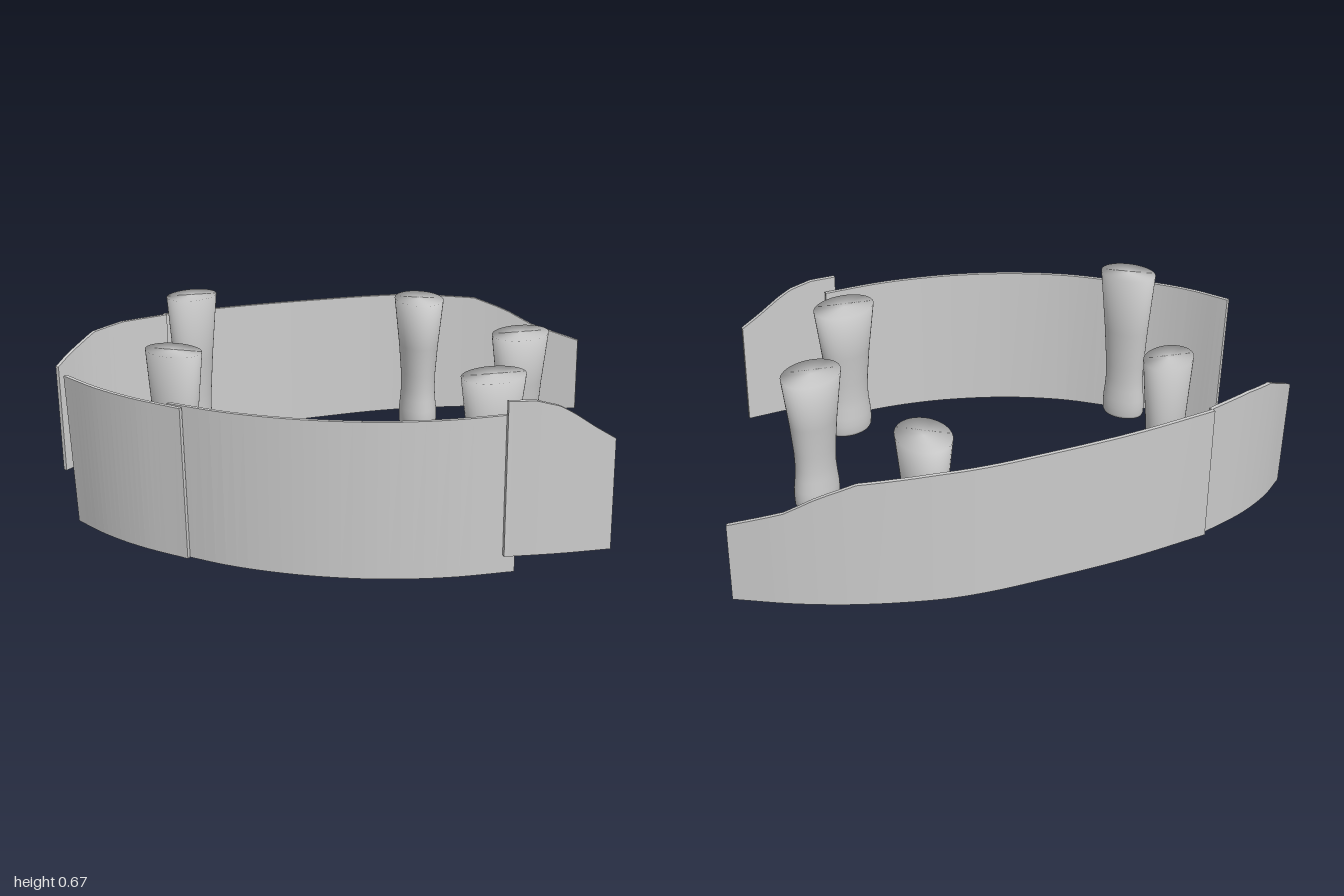
import * as THREE from 'three';

const flat = new THREE.MeshStandardMaterial({ color: 0xcccccc, flatShading: true });
const smooth = new THREE.MeshStandardMaterial({ color: 0xcccccc });

// Piecewise linear height along x
function heightAt(profile, x) {
  for (let i = 1; i < profile.length; i++) {
    const [x0, y0] = profile[i - 1], [x1, y1] = profile[i];
    if (x <= x1) return y0 + (y1 - y0) * THREE.MathUtils.clamp((x - x0) / (x1 - x0), 0, 1);
  }
  return profile[profile.length - 1][1];
}

// Thin curved wall: plan line [x, z], top and bottom heights [x, y],
// lean = how far the top tips along +z side at the start and end
function wall(name, { plan, top, bottom, lean = [0, 0], thick = 0.014, segments = 24 }) {
  const curve = new THREE.CatmullRomCurve3(plan.map(([x, z]) => new THREE.Vector3(x, 0, z)));
  const pos = [], index = [];
  for (let i = 0; i <= segments; i++) {
    const t = i / segments;
    const p = curve.getPointAt(t), d = curve.getTangentAt(t);
    const yb = heightAt(bottom, p.x), yt = heightAt(top, p.x);
    const tip = THREE.MathUtils.lerp(lean[0], lean[1], t) / 0.55;
    for (const [y, side] of [[yb, 1], [yt, 1], [yt, -1], [yb, -1]]) {
      const o = side * thick / 2 + tip * y;
      pos.push(p.x - d.z * o, y, p.z + d.x * o);
    }
    if (i === segments) continue;
    for (let j = 0; j < 4; j++) {
      const a = i * 4 + j, e = i * 4 + (j + 1) % 4;
      index.push(a, a + 4, e + 4, a, e + 4, e);
    }
  }
  const n = segments * 4;
  index.push(0, 1, 2, 0, 2, 3, n, n + 2, n + 1, n, n + 3, n + 2);
  const geo = new THREE.BufferGeometry();
  geo.setAttribute('position', new THREE.Float32BufferAttribute(pos, 3));
  geo.setIndex(index);
  geo.computeVertexNormals();
  const mesh = new THREE.Mesh(geo, flat);
  mesh.name = name;
  return mesh;
}

// Oval column with a waist near the foot and a flared top
function column(name, x, z, a, b, angle, topY) {
  const profile = [
    [0, 0.09], [0.72, 0.09], [0.765, 0.1], [0.78, 0.13], [0.765, 0.16], [0.72, 0.2],
    [0.695, 0.24], [0.71, 0.3], [0.8, 0.3 + (topY - 0.3) * 0.38], [1, topY], [0, topY],
  ].map(([r, y]) => new THREE.Vector2(r, y));
  const mesh = new THREE.Mesh(new THREE.LatheGeometry(profile, 40), smooth);
  mesh.scale.set(a, 1, b);
  mesh.rotation.y = angle;
  mesh.position.set(x, 0, z);
  mesh.name = name;
  return mesh;
}

export function createModel() {
  const model = new THREE.Group();
  model.name = 'curvedWallsAndColumns';

  // Back walls
  model.add(wall('backWallEnd', {
    plan: [[-0.975, -0.225], [-0.89, -0.32], [-0.77, -0.415], [-0.59, -0.515]],
    top: [[-1, 0.43], [-0.94, 0.48], [-0.85, 0.54], [-0.75, 0.555], [-0.58, 0.555]],
    bottom: [[-1, 0.06], [-0.58, 0.07]],
    lean: [-0.02, -0.012],
  }));
  model.add(wall('backWall', {
    plan: [[-0.6, -0.525], [-0.3, -0.615], [0, -0.68], [0.2, -0.715], [0.35, -0.725],
      [0.6, -0.707], [0.8, -0.667], [0.995, -0.605]],
    top: [[-0.6, 0.555], [0.35, 0.555], [0.6, 0.54], [0.72, 0.495], [0.82, 0.44], [0.9, 0.415], [1, 0.385]],
    bottom: [[-0.6, 0.07], [0.35, 0.09], [1, 0.11]],
    lean: [-0.012, -0.005],
    segments: 36,
  }));

  // Front walls
  model.add(wall('frontWallEnd', {
    plan: [[-0.9, 0.215], [-0.8, 0.34], [-0.69, 0.44], [-0.54, 0.54]],
    top: [[-0.93, 0.565], [-0.54, 0.545]],
    bottom: [[-0.9, 0.04], [-0.54, 0.025]],
    lean: [0.035, 0.025],
  }));
  model.add(wall('frontWall', {
    plan: [[-0.58, 0.495], [-0.4, 0.602], [-0.2, 0.678], [0, 0.719], [0.15, 0.729], [0.3, 0.722], [0.5, 0.688]],
    top: [[-0.59, 0.55], [0.1, 0.538], [0.5, 0.535]],
    bottom: [[-0.59, 0.025], [0, 0.01], [0.5, 0]],
    lean: [0.025, 0],
    segments: 30,
  }));
  model.add(wall('frontWallPanel', {
    plan: [[0.46, 0.715], [0.64, 0.694], [0.82, 0.662]],
    top: [[0.46, 0.587], [0.55, 0.583], [0.63, 0.56], [0.68, 0.53], [0.75, 0.48], [0.82, 0.435]],
    bottom: [[0.46, 0.065], [0.82, 0.055]],
    thick: 0.016,
  }));

  // Columns
  model.add(
    column('backTallColumn', -0.5, -0.36, 0.1, 0.078, 0.75, 0.67),
    column('frontTallColumn', -0.57, 0.33, 0.104, 0.077, -0.75, 0.667),
    column('backColumn', 0.36, -0.543, 0.12, 0.09, 1.72, 0.587),
    column('sideColumn', 0.65, -0.045, 0.118, 0.09, 0.75, 0.585),
    column('frontColumn', 0.465, 0.443, 0.12, 0.09, 0.55, 0.587),
  );
  return model;
}
